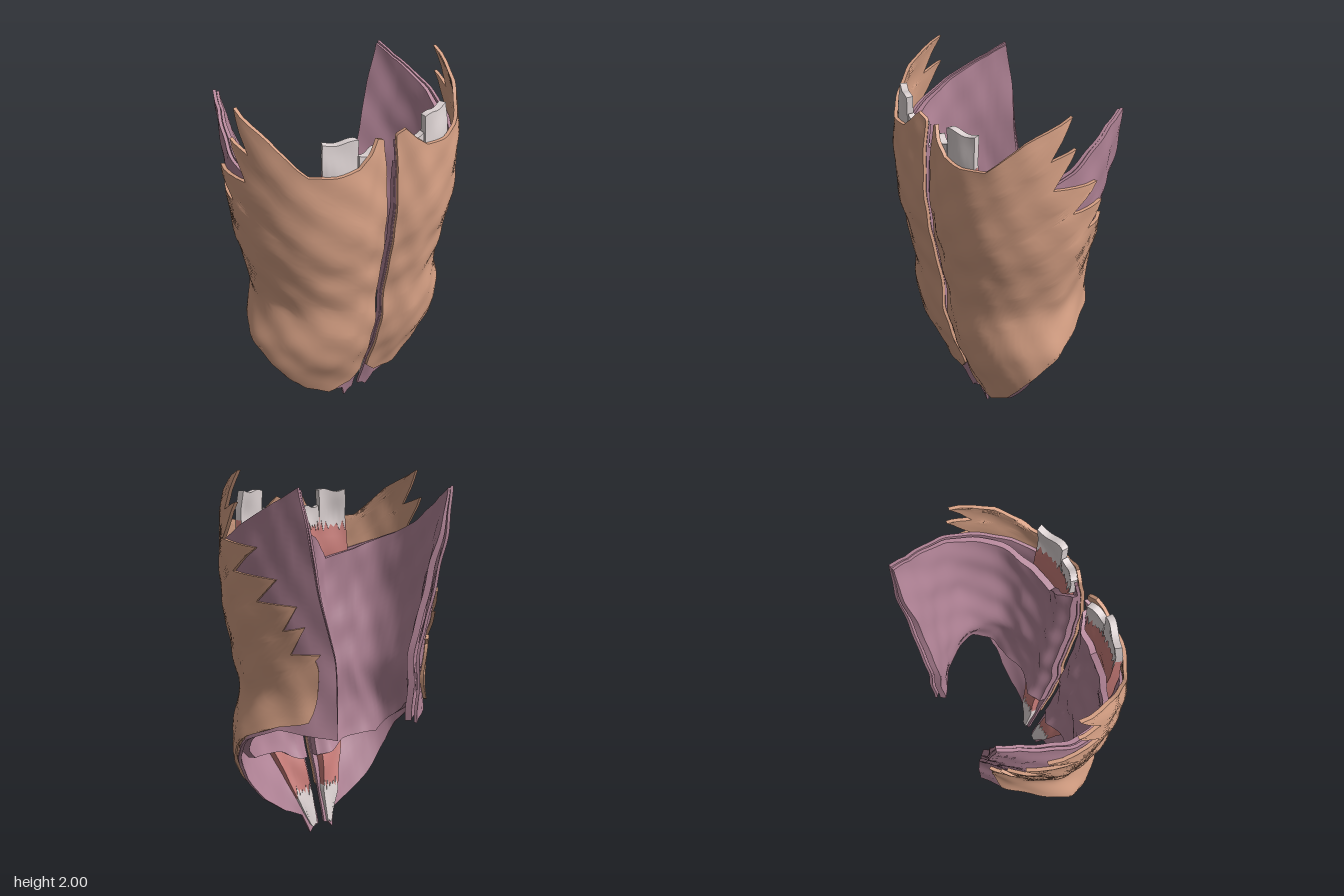
import * as THREE from 'three';
import { toCreasedNormals } from 'three/addons/utils/BufferGeometryUtils.js';

const { smoothstep } = THREE.MathUtils;

// Smoothed lookup in a table of [y, value] pairs, y ascending
function lookup(table, y) {
  const at = (q) => {
    if (q <= table[0][0]) return table[0][1];
    for (let i = 1; i < table.length; i++) {
      const [y0, v0] = table[i - 1], [y1, v1] = table[i];
      if (q <= y1) return v0 + (v1 - v0) * (q - y0) / (y1 - y0);
    }
    return table[table.length - 1][1];
  };
  return (at(y - 0.04) + 2 * at(y) + at(y + 0.04)) / 4;
}

// Torso proportions by height: half width, front depth, back edge, midline gap
const WIDTH = [[0, 0.56], [0.3, 0.58], [0.5, 0.6], [0.66, 0.605], [0.8, 0.565], [0.9, 0.54], [1.1, 0.58],
  [1.3, 0.62], [1.6, 0.638], [1.8, 0.63], [2, 0.595]];
const FRONT = [[0, 0.105], [0.2, 0.17], [0.35, 0.23], [0.5, 0.295], [0.7, 0.335], [0.9, 0.34], [1.05, 0.375],
  [1.15, 0.38], [1.25, 0.405], [1.4, 0.42], [1.65, 0.41], [1.9, 0.385]];
const BACK = [[0.68, 0.285], [1.08, 0.3], [1.47, 0.43], [1.92, 0.53]];
const BACK_Z = [[0.68, -0.42], [1.4, -0.42], [1.7, -0.43], [1.92, -0.405]];
const GAP = [[0, 0.02], [0.8, 0.025], [1.8, 0.035]];

const sections = new Map();
function section(y) {
  const key = Math.round(y * 2000);
  if (!sections.has(key)) {
    const W = lookup(WIDTH, y), F = lookup(FRONT, y), B = lookup(BACK, y), D = F + 0.05;
    const low = 1 - smoothstep(y, 0.15, 0.6);
    sections.set(key, new THREE.CatmullRomCurve3([
      [lookup(GAP, y), F - 0.03 * smoothstep(y, 0, 0.5)], [0.33 * W, F], [0.68 * W, F - (0.16 + 0.1 * low) * D],
      [0.9 * W, F - 0.5 * D], [W, -0.05], [W + 0.42 * (B - W), -0.28], [B, lookup(BACK_Z, y)],
    ].map(([x, z]) => new THREE.Vector3(x, 0, z))));
  }
  return sections.get(key);
}

// Point on the body wall: u runs 0 (midline) to 6 (back edge), inset goes inward
function wallPoint(u, y, inset) {
  const curve = section(y), t = Math.min(Math.max(u / 6, 0), 1);
  const p = curve.getPoint(t), d = curve.getTangent(t);
  const k = inset + 0.003 * (Math.sin(u * 7 + y * 15) + Math.sin(y * 25 - u * 5));
  return [p.x + d.z * k, y, p.z - d.x * k];
}

// Thick sheet ruled between two [u, y] edge lines with matching points.
// insetOf and thickOf give depth and thickness at (u, y)
function sheet(side, name, color, edgeA, edgeB, insetOf, thickOf, cols = 36, sub = 4) {
  const rows = [], mix = (p, q, t) => [p[0] + (q[0] - p[0]) * t, p[1] + (q[1] - p[1]) * t];
  for (let k = 0; k < edgeA.length - 1; k++) {
    for (let s = 0; s < sub; s++) {
      rows.push([mix(edgeA[k], edgeA[k + 1], s / sub), mix(edgeB[k], edgeB[k + 1], s / sub)]);
    }
  }
  rows.push([edgeA[edgeA.length - 1], edgeB[edgeB.length - 1]]);

  const pos = [], index = [], ring = 2 * (cols + 1);
  for (const [a, b] of rows) {
    for (let i = 0; i < ring; i++) {
      const outer = i <= cols;
      const [u, y] = mix(a, b, (outer ? i : ring - 1 - i) / cols);
      const [px, py, pz] = wallPoint(u, y, insetOf(u, y) + (outer ? 0 : thickOf(u, y)));
      pos.push(side * px, py, pz);
    }
  }
  const tri = (a, b, c) => (side > 0 ? index.push(a, b, c) : index.push(a, c, b));
  for (let r = 0; r < rows.length - 1; r++) {
    for (let i = 0; i < ring; i++) {
      const j = (i + 1) % ring, o = r * ring, n = o + ring;
      tri(o + i, n + i, o + j);
      tri(n + i, n + j, o + j);
    }
  }
  // Close the first and last rows
  const last = (rows.length - 1) * ring;
  for (let i = 0; i < cols; i++) {
    const p = ring - 1 - i;
    tri(i, i + 1, p);
    tri(i + 1, p - 1, p);
    tri(last + i, last + p, last + i + 1);
    tri(last + i + 1, last + p, last + p - 1);
  }
  const geo = new THREE.BufferGeometry();
  geo.setAttribute('position', new THREE.Float32BufferAttribute(pos, 3));
  geo.setIndex(index);
  const mesh = new THREE.Mesh(toCreasedNormals(geo, 0.8),
    new THREE.MeshStandardMaterial({ color, side: THREE.DoubleSide }));
  mesh.name = name;
  return mesh;
}

// The straight muscle thins out towards both ends
const strapInset = (u, y) => 0.04 - 0.018 * smoothstep(y, 1.5, 1.8) - 0.006 * (1 - smoothstep(y, 0, 0.4));
const strapThick = (u, y) => 0.048 - 0.02 * smoothstep(y, 1.5, 1.8) - 0.036 * (1 - smoothstep(y, 0, 0.5));

// Tendon patch with a jagged edge where it meets the muscle
function tendon(side, name, u0, u1, plain, jagged, isTop) {
  const low = [], high = [], n = 10;
  for (let i = 0; i <= n; i++) {
    const t = i / n, zig = jagged + (i % 2 ? 0.03 : -0.01) + 0.012 * Math.sin(i * 2.3);
    const end = plain + 0.008 * Math.sin(i * 0.7);
    const uEnd = isTop ? u0 + (u1 - u0) * t : 0.1 + 0.22 * t;
    const uJag = u0 + (u1 - u0) * t;
    low.push(isTop ? [uJag, zig] : [uEnd, end]);
    high.push(isTop ? [uEnd, end] : [uJag, zig]);
  }
  return sheet(side, name, 0xdcd2d2, low, high, (u, y) => strapInset(u, y) - 0.003,
    (u, y) => strapThick(u, y) + 0.006, 8, 2);
}

const COAT = 0xd6a084, MAUVE = 0xb28497, RED = 0xc87c78;

function halfWall(side) {
  const half = new THREE.Group();
  half.name = side > 0 ? 'leftWall' : 'rightWall';

  // Outer muscle: midline and lower edge against the top edge and serrated back
  const coatA = [[0, 1.83], [0, 1.8], [0, 1.7], [0, 1.6], [0, 1.5], [0, 1.42], [0, 1.36], [0, 1.35], [0, 1.34],
    [0, 1.33], [0, 1.31], [0, 1.22], [0, 1.2], [0, 1.06], [0, 1.03], [0, 0.94], [0, 0.91], [0, 0.78], [0, 0.76],
    [0, 0.6], [0, 0.57], [0, 0.4], [0, 0.25], [0.4, 0.17], [1.2, 0.16], [1.9, 0.27], [2.5, 0.39], [2.95, 0.49],
    [3.35, 0.59], [4, 0.68], [4.7, 0.75], [5.2, 0.77]];
  const coatB = [[0.05, 1.84], [0.28, 1.86], [0.6, 1.8], [0.95, 1.75], [1.5, 1.74], [2.05, 1.75], [2.4, 1.81],
    [2.95, 1.9], [3.95, 2], [3.45, 1.81], [4, 1.85], [3.5, 1.67], [4.6, 1.64], [3.95, 1.52], [4.98, 1.49], [4.5, 1.38],
    [5.4, 1.36], [4.95, 1.24], [5.5, 1.26], [5, 1.12], [5.7, 1.12], [5.55, 1.09], [5.57, 1.08], [5.58, 1.07],
    [5.6, 1.05], [5.6, 1.02], [5.58, 0.98], [5.56, 0.95], [5.54, 0.91], [5.5, 0.87], [5.45, 0.83], [5.35, 0.78]];
  half.add(sheet(side, 'outerMuscle', COAT, coatA, coatB, () => 0, () => 0.018));

  // Middle muscle: lower edge against upper edge
  const midA = [[0, 0.04], [0.2, 0.03], [0.35, 0], [0.55, 0.1], [1.2, 0.15], [1.9, 0.25], [2.95, 0.44], [3.3, 0.54],
    [4, 0.66], [4.7, 0.73], [5, 0.72], [6, 0.68]];
  const midB = [[0, 1.8], [0.15, 1.78], [0.35, 1.72], [0.6, 1.62], [1.2, 1.54], [1.9, 1.56], [2.8, 1.62], [3.35, 1.66],
    [4, 1.725], [4.5, 1.79], [5, 1.85], [6, 1.92]];
  half.add(sheet(side, 'middleMuscle', MAUVE, midA, midB, () => 0.02, () => 0.016));

  // Inner muscle wraps behind the straight muscle, ends above its lower part and thins out at the top
  const inA = [[0, 0.41], [0.2, 0.42], [0.6, 0.44], [1.2, 0.48], [2, 0.5], [2.6, 0.5], [3.2, 0.58], [4, 0.67],
    [4.7, 0.73], [5.2, 0.72], [6, 0.69]];
  const inB = [[0, 1.68], [0.2, 1.65], [0.6, 1.57], [1, 1.51], [2, 1.56], [2.6, 1.6], [3.3, 1.65], [4, 1.72],
    [4.5, 1.785], [5, 1.845], [6, 1.91]];
  const thin = (y) => smoothstep(y, 1.5, 1.9);
  const behind = (u, y) => 0.05 - 0.012 * thin(y)
    + (0.046 * smoothstep(u, 0, 0.35) - 0.01 * (1 - smoothstep(u, 0, 0.35))) * (1 - smoothstep(u, 1.9, 3));
  half.add(sheet(side, 'innerMuscle', MAUVE, inA, inB, behind, (u, y) => 0.035 - 0.022 * thin(y)));

  // Straight front muscle with tendons at both ends
  const strapA = [[0.2, 1.74], [0.28, 1.4], [0.28, 1], [0.28, 0.6], [0.14, 0.4], [0.1, 0.2]];
  const strapB = [[1.75, 1.74], [1.9, 1.4], [1.85, 1], [1.5, 0.6], [1.15, 0.4], [0.7, 0.2]];
  half.add(sheet(side, 'straightMuscle', RED, strapA, strapB, strapInset, strapThick, 16, 6));
  half.add(tendon(side, 'outerUpperTendon', 0.95, 1.75, 1.89, 1.68, true));
  half.add(tendon(side, 'innerUpperTendon', 0.15, 0.9, 1.8, 1.68, true));
  half.add(tendon(side, 'lowerTendon', 0.08, 0.72, 0.04, 0.23, false));
  return half;
}

export function createModel() {
  const model = new THREE.Group();
  model.name = 'abdominalWall';
  for (const side of [1, -1]) model.add(halfWall(side));
  return model;
}
